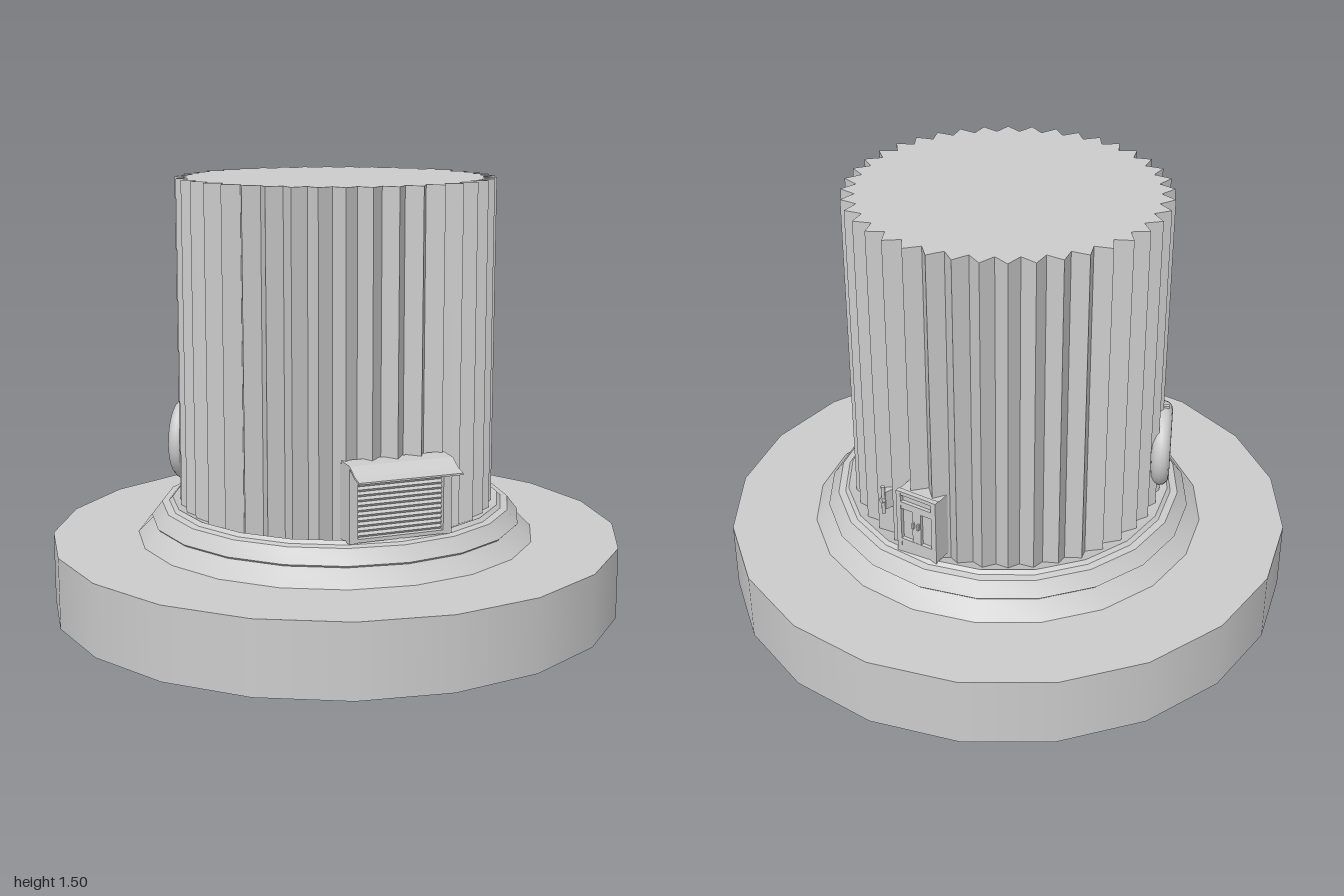
import * as THREE from 'three';
import { toCreasedNormals } from 'three/addons/utils/BufferGeometryUtils.js';

const material = new THREE.MeshStandardMaterial({ color: 0xcccccc });
const sheetMaterial = new THREE.MeshStandardMaterial({ color: 0xcccccc, side: THREE.DoubleSide });

function add(parent, name, geometry, x = 0, y = 0, z = 0, mat = material) {
  const mesh = new THREE.Mesh(geometry, mat);
  mesh.name = name;
  mesh.position.set(x, y, z);
  parent.add(mesh);
  return mesh;
}

function box(parent, name, w, h, d, x, y, z) {
  return add(parent, name, new THREE.BoxGeometry(w, h, d), x, y, z);
}

// Group placed on the column wall, with its local +z pointing outward
function wallGroup(parent, name, degrees, radius, y) {
  const group = new THREE.Group();
  const a = THREE.MathUtils.degToRad(degrees);
  group.name = name;
  group.position.set(Math.sin(a) * radius, y, Math.cos(a) * radius);
  group.rotation.y = a;
  parent.add(group);
  return group;
}

// Zigzag column with 40 sharp ridges
function columnGeometry() {
  const points = [];
  for (let i = 0; i < 80; i++) {
    const a = (i / 80) * Math.PI * 2;
    const r = i % 2 ? 0.503 : 0.55;
    points.push(new THREE.Vector2(Math.cos(a) * r, Math.sin(a) * r));
  }
  const geometry = new THREE.ExtrudeGeometry(new THREE.Shape(points), { depth: 1.25, bevelEnabled: false });
  return geometry.rotateX(-Math.PI / 2);
}

// Stepped moulding around the foot of the column
function collarGeometry() {
  const profile = [
    [0.7, 0.25], [0.645, 0.305], [0.652, 0.312], [0.615, 0.36], [0.59, 0.364], [0.578, 0.376], [0.49, 0.34],
  ].map(([r, y]) => new THREE.Vector2(r, y));
  return toCreasedNormals(new THREE.LatheGeometry(profile, 20), 0.4);
}

// Shuttered opening with posts, lintel and a bent awning
function addShutter(parent) {
  const shutter = new THREE.Group();
  shutter.name = 'shutter';
  parent.add(shutter);
  for (const side of [-1, 1]) {
    box(shutter, 'post', 0.03, 0.25, 0.08, side * 0.165, 0.495, 0.54);
  }
  box(shutter, 'lintel', 0.3, 0.05, 0.08, 0, 0.59, 0.54);
  box(shutter, 'sill', 0.3, 0.012, 0.08, 0, 0.378, 0.54);
  box(shutter, 'shutterBacking', 0.3, 0.19, 0.04, 0, 0.475, 0.535);
  for (let i = 0; i < 11; i++) {
    const slat = box(shutter, 'slat', 0.3, 0.012, 0.012, 0, 0.392 + i * 0.0168, 0.558);
    slat.rotation.x = Math.PI / 4;
  }
  const outline = new THREE.Shape([
    [0.51, 0.63], [0.582, 0.627], [0.625, 0.602], [0.662, 0.592],
    [0.662, 0.586], [0.622, 0.595], [0.58, 0.619], [0.51, 0.619],
  ].map(([z, y]) => new THREE.Vector2(-z, y)));
  const awning = new THREE.ExtrudeGeometry(outline, { depth: 0.36, bevelEnabled: false });
  awning.translate(0, 0, -0.18).rotateY(Math.PI / 2);
  add(shutter, 'awning', awning, 0, 0, 0, sheetMaterial);
}

// Wall cabinet with a top slot, two recessed door panels and handles
function addCabinet(parent) {
  const cabinet = wallGroup(parent, 'cabinet', 121, 0.5, 0.49);
  box(cabinet, 'cabinetBody', 0.156, 0.236, 0.08, 0, 0, 0.023);
  for (const side of [-1, 1]) {
    box(cabinet, 'stile', 0.018, 0.244, 0.02, side * 0.07, 0, 0.067);
    box(cabinet, 'doorHandle', 0.006, 0.022, 0.012, side * 0.01, 0.005, 0.08);
  }
  box(cabinet, 'middleStile', 0.034, 0.18, 0.016, 0, -0.03, 0.067);
  for (const [y, h] of [[0.115, 0.014], [0.068, 0.026], [-0.095, 0.054]]) {
    box(cabinet, 'rail', 0.14, h, 0.018, 0, y, 0.067);
  }
}

// Small upright lever beside the cabinet
function addLever(parent) {
  const lever = wallGroup(parent, 'lever', 102.5, 0.53, 0.505);
  box(lever, 'leverPlate', 0.022, 0.07, 0.035, 0, 0, 0);
  add(lever, 'leverRod', new THREE.CylinderGeometry(0.007, 0.007, 0.11, 8), 0, 0, 0.02);
  const knob = add(lever, 'leverKnob', new THREE.CylinderGeometry(0.01, 0.01, 0.02, 8), 0, 0, 0.02);
  knob.rotation.x = Math.PI / 2;
}

// Ring hung on the wall
function addRing(parent) {
  const ring = wallGroup(parent, 'wallRing', 236, 0.548, 0.555);
  add(ring, 'ring', new THREE.TorusGeometry(0.118, 0.033, 12, 32));
  box(ring, 'ringHook', 0.014, 0.03, 0.05, 0, 0.14, -0.005);
}

export function createModel() {
  const model = new THREE.Group();
  model.name = 'flutedColumn';
  add(model, 'base', new THREE.CylinderGeometry(1, 1, 0.25, 20), 0, 0.125, 0);
  add(model, 'collar', collarGeometry());
  add(model, 'column', columnGeometry(), 0, 0.25, 0);
  addShutter(model);
  addCabinet(model);
  addLever(model);
  addRing(model);
  return model;
}
